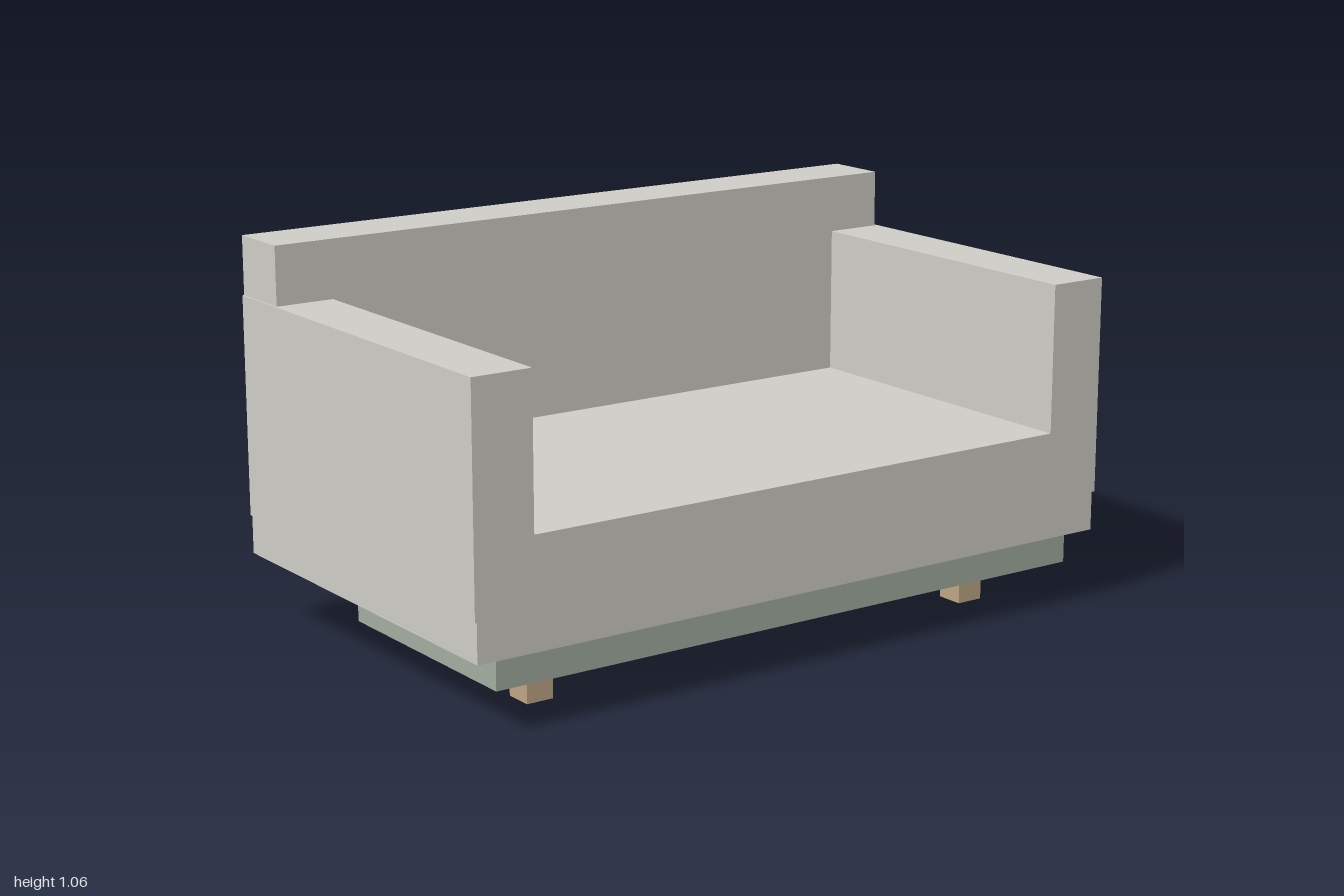
import * as THREE from 'three';

export function createModel() {
  const sofa = new THREE.Group();
  sofa.name = 'sofa';
  const fabric = new THREE.MeshStandardMaterial({ color: 0xcfcdc6 });
  const drawerPaint = new THREE.MeshStandardMaterial({ color: 0xa2ada0 });
  const wood = new THREE.MeshStandardMaterial({ color: 0xbfa584 });

  // Box given by its [min, max] extent on each axis
  function block(name, material, [x0, x1], [y0, y1], [z0, z1]) {
    const mesh = new THREE.Mesh(new THREE.BoxGeometry(x1 - x0, y1 - y0, z1 - z0), material);
    mesh.position.set((x0 + x1) / 2, (y0 + y1) / 2, (z0 + z1) / 2);
    mesh.name = name;
    sofa.add(mesh);
  }

  // Upholstered seat and backrest
  block('seat', fabric, [-0.995, 0.99], [0.198, 0.495], [-0.57, 0.57]);
  block('backrest', fabric, [-0.995, 0.99], [0.495, 1.065], [-0.57, -0.39]);

  // Armrests, a hair wider than the seat
  block('leftArmrest', fabric, [0.83, 1], [0.305, 0.905], [-0.57, 0.57]);
  block('rightArmrest', fabric, [-1, -0.83], [0.305, 0.905], [-0.57, 0.57]);

  // Shallow drawer under the front of the seat
  block('drawer', drawerPaint, [-0.925, 0.92], [0.11, 0.198], [-0.13, 0.54]);

  // Legs: the front pair carries the drawer, the back pair reaches the seat
  for (const [side, x] of [['Left', 0.704], ['Right', -0.71]]) {
    const span = [x - 0.039, x + 0.039];
    block('front' + side + 'Leg', wood, span, [0, 0.11], [0.32, 0.4]);
    block('back' + side + 'Leg', wood, span, [0, 0.198], [-0.398, -0.318]);
  }
  return sofa;
}
